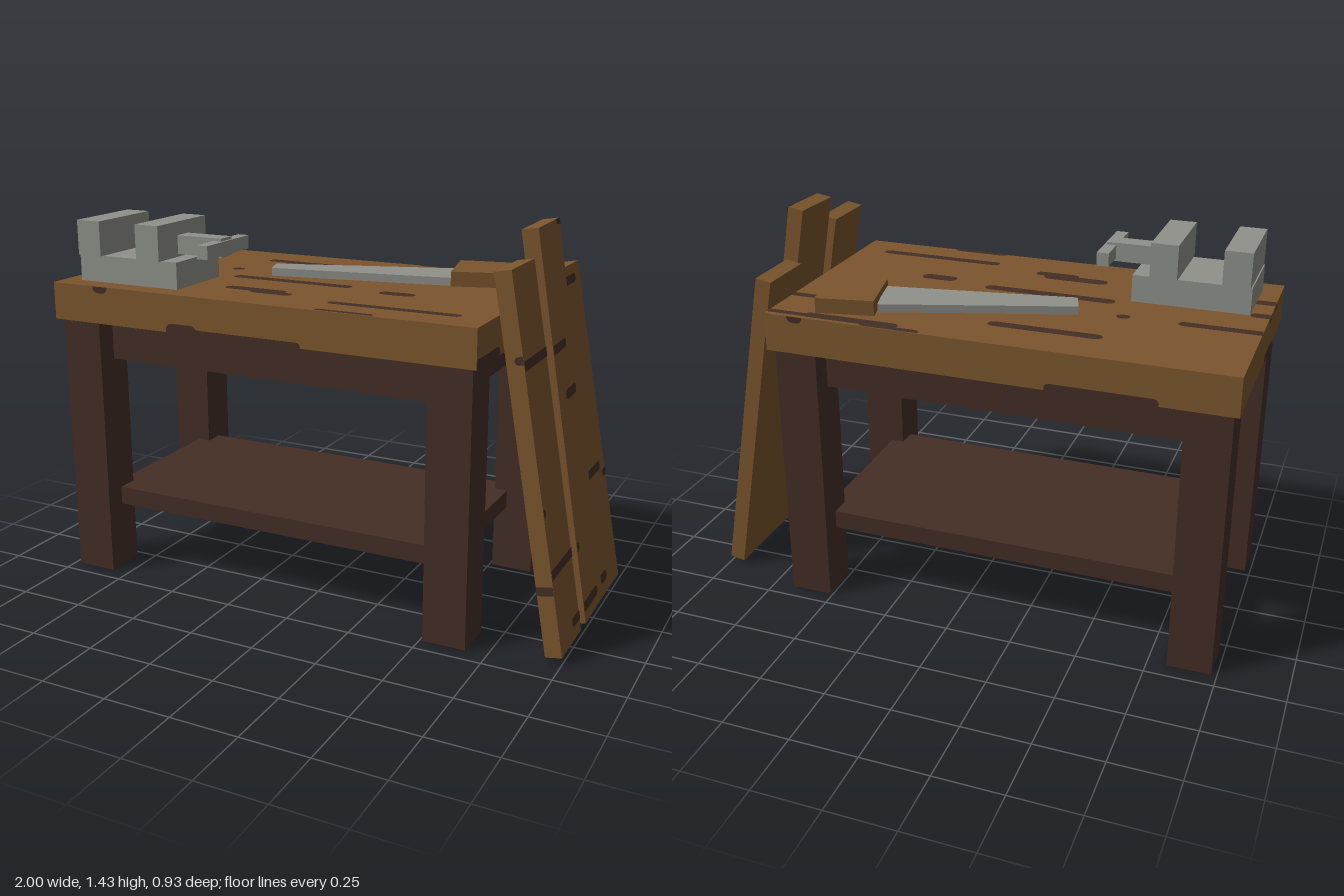
import * as THREE from 'three';

const make = (name, color, extra = {}) => {
  const m = new THREE.MeshStandardMaterial({ color, ...extra });
  m.name = name;
  return m;
};

export function createModel() {
  const wood = make('oak brown', 0x7b562d);
  const dark = make('dark walnut', 0x442e25, { side: THREE.DoubleSide });
  const metal = make('steel grey', 0x8f918a);
  const model = new THREE.Group();
  model.name = 'workbench';

  const add = (parent, name, geometry, material) => {
    const mesh = new THREE.Mesh(geometry, material);
    mesh.name = name;
    parent.add(mesh);
    return mesh;
  };

  // Box given by its limits on each axis
  const box = (parent, name, mat, [x0, x1], [y0, y1], [z0, z1]) => {
    const mesh = add(parent, name, new THREE.BoxGeometry(x1 - x0, y1 - y0, z1 - z0), mat);
    mesh.position.set((x0 + x1) / 2, (y0 + y1) / 2, (z0 + z1) / 2);
    return mesh;
  };

  // Flat slab from an outline of [x, z] points
  const slab = (name, mat, outline, y, height) => {
    const shape = new THREE.Shape(outline.map(([x, z]) => new THREE.Vector2(x, -z)));
    const geo = new THREE.ExtrudeGeometry(shape, { depth: height, bevelEnabled: false });
    add(model, name, geo.rotateX(-Math.PI / 2), mat).position.y = y;
  };

  // Rounded grain streaks [u0, u1, v, halfHeight], trimmed to a w by h face
  const grain = (parent, name, pos, rot, w, h, list) => {
    const face = new THREE.Group();
    face.name = name;
    face.position.set(...pos);
    face.rotation.set(...rot);
    parent.add(face);
    for (const [u0, u1, v, r] of list) {
      const points = [];
      for (let i = 0; i < 16; i++) {
        const a = -Math.PI / 2 + (Math.PI * (i % 8)) / 7 + (i < 8 ? 0 : Math.PI);
        const u = (i < 8 ? u1 - r : u0 + r) + Math.cos(a) * r;
        points.push(new THREE.Vector2(
          THREE.MathUtils.clamp(u, -w / 2, w / 2),
          THREE.MathUtils.clamp(v + Math.sin(a) * r, -h / 2, h / 2)));
      }
      add(face, 'grainStreak', new THREE.ShapeGeometry(new THREE.Shape(points)), dark);
    }
  };

  // Bench
  box(model, 'tabletop', wood, [-1, 0.69], [1.01, 1.15], [-0.465, 0.465]);
  box(model, 'apron', dark, [-0.87, 0.56], [0.85, 1.01], [-0.36, 0.36]);
  box(model, 'shelf', dark, [-0.87, 0.56], [0.255, 0.325], [-0.36, 0.36]);
  for (const x of [-0.98, 0.51]) {
    for (const z of [-0.44, 0.28]) {
      const leg = box(model, 'leg', dark, [x, x + 0.16], [0, 1.01], [z, z + 0.16]);
      // hollow leg: drop the bottom face
      const index = Array.from(leg.geometry.index.array);
      index.splice(18, 6);
      leg.geometry.setIndex(index);
    }
  }

  // Grain on the tabletop; u and v are measured from the centre of each face
  const cx = -0.155, cy = 1.08, W = 1.69, D = 0.93, H = 0.14;
  const shift = (list, du, dv) => list.map(([a, b, v, r]) => [a - du, b - du, v - dv, r]);
  grain(model, 'topGrain', [cx, 1.152, 0], [-Math.PI / 2, 0, 0], W, D, shift([
    [0.10, 0.32, 0.46, 0.02], [0.19, 0.55, 0.43, 0.022], [0.42, 0.72, 0.435, 0.014],
    [-0.5, -0.09, 0.29, 0.022], [-1.05, -0.71, 0.07, 0.02], [-0.54, -0.49, 0.07, 0.02],
    [-0.45, 0.05, -0.065, 0.023], [0.18, 0.32, -0.105, 0.026], [0.58, 0.75, 0.25, 0.017],
    [-0.37, -0.12, -0.258, 0.025], [-0.25, -0.08, -0.285, 0.02], [0.09, 0.585, -0.335, 0.019],
    [0.10, 0.32, -0.46, 0.017], [-1.05, -0.93, -0.10, 0.022], [-1.05, -0.92, -0.24, 0.022],
  ], cx, 0));
  grain(model, 'frontGrain', [cx, cy, 0.467], [0, 0, 0], W, H, shift([
    [-0.5, 0.05, 1.015, 0.015], [-0.5, -0.37, 1.02, 0.024], [-0.82, -0.755, 1.148, 0.022],
  ], cx, cy));
  grain(model, 'backGrain', [cx, cy, -0.467], [0, Math.PI, 0], W, H, shift([
    [0.35, 0.74, 1.018, 0.018], [-0.6, -0.54, 1.148, 0.02],
  ], -cx, cy));
  grain(model, 'rightGrain', [0.692, cy, 0], [0, Math.PI / 2, 0], D, H, shift([
    [-0.5, -0.25, 1.025, 0.02],
  ], 0, cy));
  grain(model, 'leftGrain', [-1.002, cy, 0], [0, -Math.PI / 2, 0], D, H, shift([
    [0.02, 0.2, 1.018, 0.018], [0.08, 0.12, 1.145, 0.015], [0.22, 0.26, 1.145, 0.015],
  ], 0, cy));

  // Vise
  const vise = new THREE.Group();
  vise.name = 'vise';
  model.add(vise);
  box(vise, 'viseBase', metal, [-0.93, -0.5], [1.15, 1.25], [0.1, 0.385]);
  box(vise, 'fixedJaw', metal, [-0.925, -0.825], [1.25, 1.38], [0.085, 0.4]);
  box(vise, 'movingJaw', metal, [-0.665, -0.565], [1.25, 1.38], [0.085, 0.4]);
  box(vise, 'viseScrew', metal, [-0.565, -0.375], [1.26, 1.33], [0.205, 0.275]);
  box(vise, 'viseHandle', metal, [-0.41, -0.365], [1.27, 1.32], [0.1, 0.385]);

  // Saw
  slab('sawBlade', metal, [[-0.36, -0.1], [-0.33, -0.01], [0.37, -0.13], [0.315, -0.32]], 1.15, 0.03);
  slab('sawHandle', wood, [[0.31, -0.36], [0.52, -0.4], [0.575, -0.18], [0.365, -0.12]], 1.15, 0.055);

  // Planks leaning on the right end: top height, centre z, sideways tilt, grain [z0, z1, y, r]
  const T = 0.06, width = 0.23;
  const planks = [
    [1.33, 0.275, 0, [[0.1, 0.45, 1.015, 0.017], [0.1, 0.45, 0.31, 0.017],
      [0.1, 0.25, 0.08, 0.016], [0.37, 0.45, 0.525, 0.014]]],
    [1.43, 0, 0.021, [[-0.025, 0.2, 1.01, 0.016], [0.09, 0.2, 0.305, 0.016],
      [-0.08, 0.04, 0.835, 0.018], [-0.055, 0.2, 0.08, 0.019], [-0.2, -0.07, 1.425, 0.02]]],
    [1.24, -0.25, -0.008, [[-0.3, -0.08, 1.185, 0.016], [-0.3, -0.08, 0.48, 0.017],
      [-0.45, -0.32, 0.438, 0.014], [-0.21, -0.08, 0.085, 0.018]]],
  ];
  planks.forEach(([top, z, tilt, streaks], i) => {
    const rise = top - 0.025;
    const lean = Math.atan2(0.23, rise);
    const length = Math.hypot(0.23, rise);
    const y = (top + 0.015) / 2;
    const plank = new THREE.Group();
    plank.name = 'leaningPlank';
    plank.position.set(0.855, y, z);
    plank.rotation.set(tilt, 0, lean);
    model.add(plank);
    add(plank, 'plankBoard', new THREE.BoxGeometry(T, length, width), wood);
    grain(plank, 'plankGrain', [T / 2 + 0.002, 0, 0], [0, Math.PI / 2, 0], width, length,
      streaks.map(([a, b, v, r]) => [z - b, z - a, (v - y) / Math.cos(lean), r]));
    if (i === 0) {
      grain(plank, 'plankEdgeGrain', [0, 0, width / 2 + 0.002], [0, 0, 0], T, length,
        [[-0.06, 0.06, 0.25 - y, 0.016], [0, 0.06, 1.04 - y, 0.014]]);
    }
  });

  return model;
}
